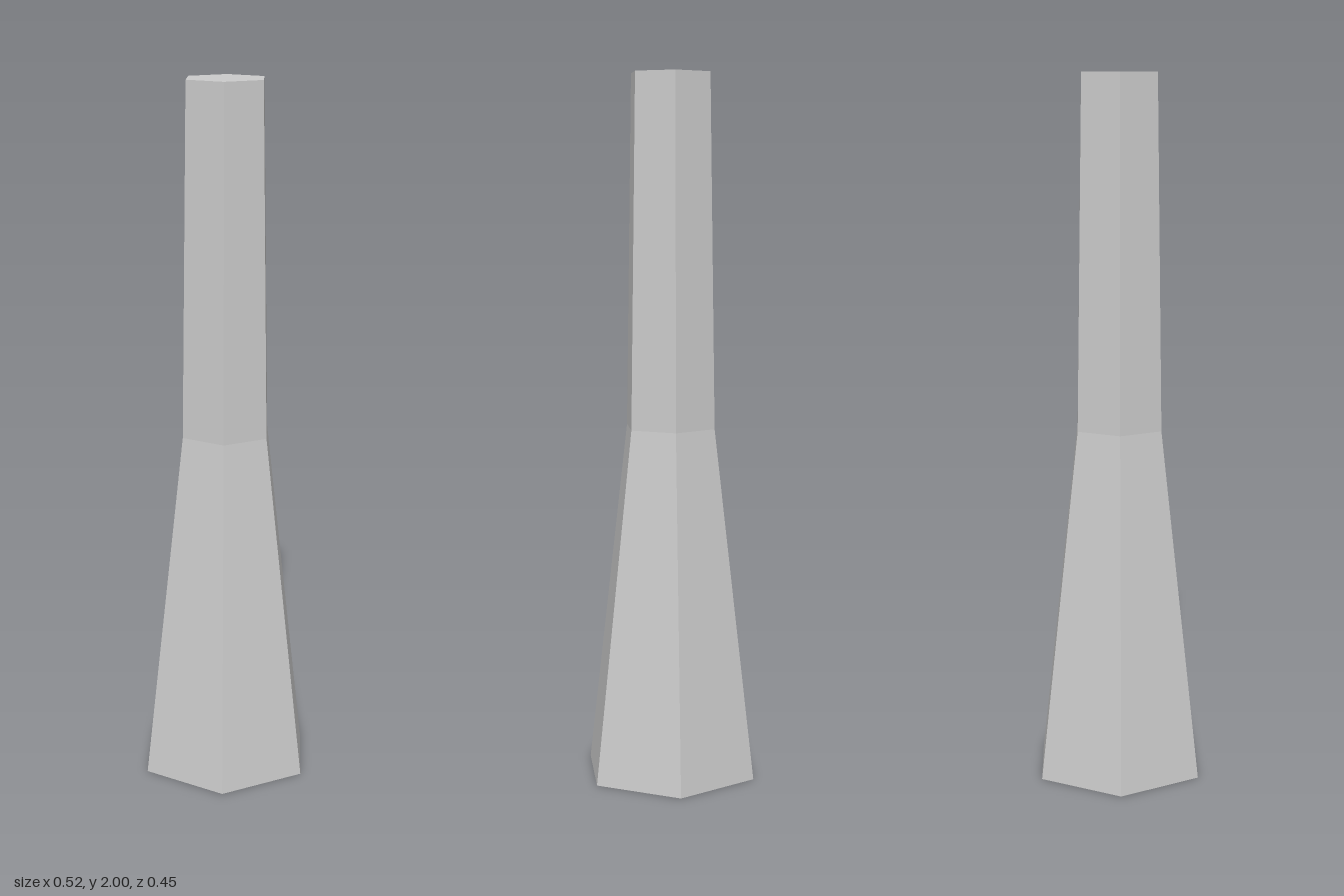
import * as THREE from 'three';

export function createModel() {
  const group = new THREE.Group();
  group.name = 'hexagonalPost';
  const material = new THREE.MeshStandardMaterial({ color: 0xcccccc, flatShading: true });

  // Closed profile: flared base, slender shaft, flat caps
  const profile = [[0, 0], [0.26, 0], [0.136, 1.01], [0.12, 2], [0, 2]]
    .map(([r, y]) => new THREE.Vector2(r, y));

  // Six sides, with corners on the x axis
  const post = new THREE.Mesh(new THREE.LatheGeometry(profile, 6, Math.PI / 6), material);
  post.name = 'post';
  group.add(post);
  return group;
}
